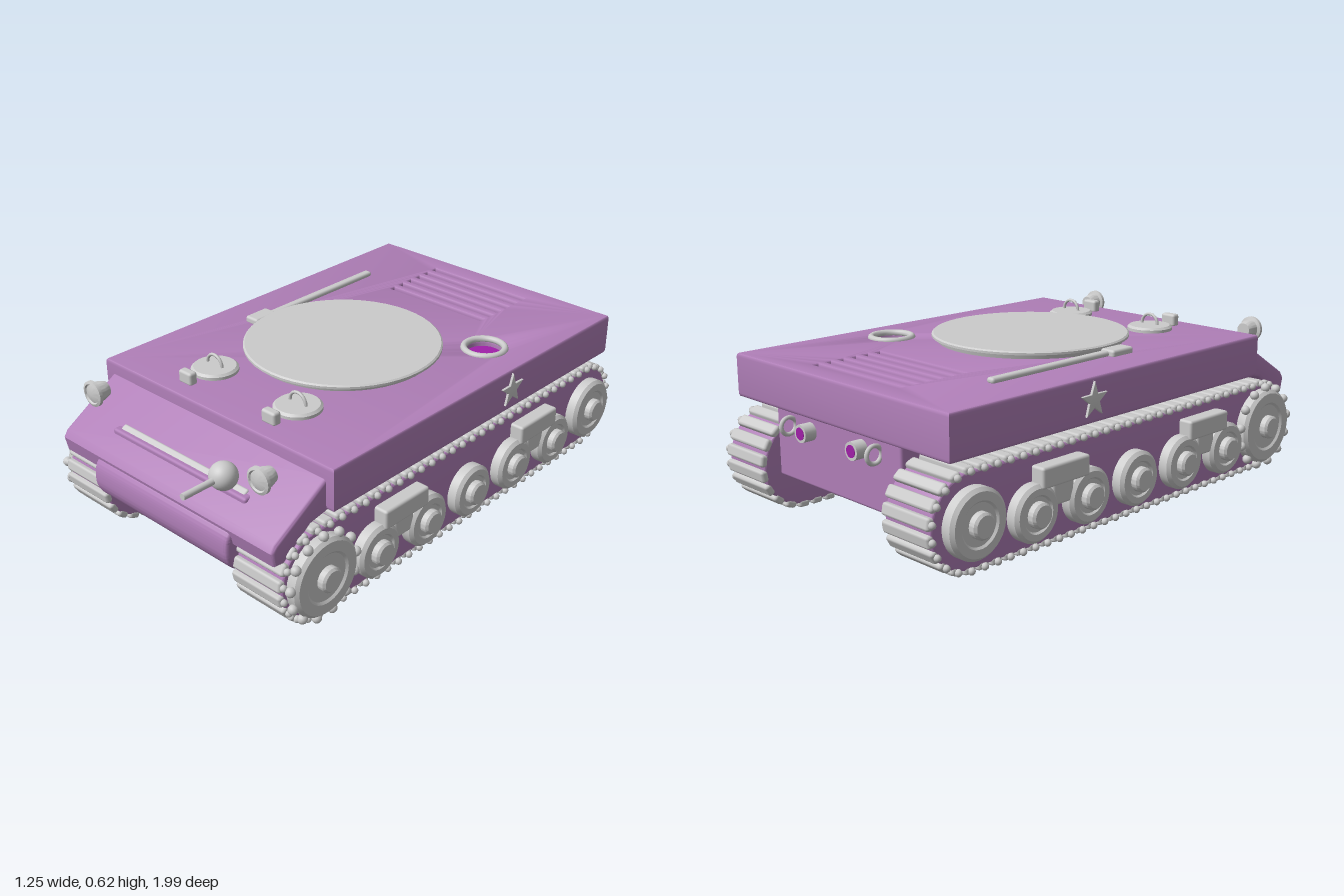
import * as THREE from 'three';
import { mergeGeometries, toCreasedNormals } from 'three/addons/utils/BufferGeometryUtils.js';
import { RoundedBoxGeometry } from 'three/addons/geometries/RoundedBoxGeometry.js';

const paint = (color) => new THREE.MeshStandardMaterial({ color });
const grey = paint(0xcccccc), mauve = paint(0xb07fb8), purple = paint(0xa020a8);

function add(parent, name, geometry, x = 0, y = 0, z = 0, material = grey) {
  const mesh = new THREE.Mesh(geometry, material);
  mesh.name = name;
  mesh.position.set(x, y, z);
  parent.add(mesh);
  return mesh;
}

const box = (w, h, d, r = 0.01) => new RoundedBoxGeometry(w, h, d, 2, r);
const tubeX = (r, l, n = 32) => new THREE.CylinderGeometry(r, r, l, n).rotateZ(-Math.PI / 2);
const tubeZ = (r1, r2, l) => new THREE.CylinderGeometry(r1, r2, l, 24).rotateX(Math.PI / 2);
const lathe = (points) => toCreasedNormals(
  new THREE.LatheGeometry(points.map(([r, y]) => new THREE.Vector2(r, y)), 48), 0.6);

// Extrudes a (z, y) profile across x, centred, with rounded edges
function across(shape, width, bevel) {
  const g = new THREE.ExtrudeGeometry(shape, {
    depth: width - 2 * bevel, bevelSize: bevel, bevelThickness: bevel,
    bevelOffset: -bevel, bevelSegments: 3, curveSegments: 24 });
  g.translate(0, 0, bevel - width / 2).rotateY(-Math.PI / 2);
  return toCreasedNormals(g, 0.7);
}

const polygon = (pts) => new THREE.Shape(pts.map(([a, b]) => new THREE.Vector2(a, b)));

// Upper hull: rounded slab with vent slots and a round port cut into its top
function upperHull() {
  const bevel = 0.014;
  const shape = polygon([[-0.57, -0.665], [0.57, -0.665], [0.57, 0.905], [-0.57, 0.905]]);
  for (let i = 0; i < 6; i++) {
    const c = 0.54 + i * 0.054;
    const slot = new THREE.Path();
    slot.moveTo(-0.235, c - 0.015).lineTo(-0.235, c + 0.015);
    slot.lineTo(0.235, c + 0.015).lineTo(0.235, c - 0.015).closePath();
    shape.holes.push(slot);
  }
  const port = new THREE.Path();
  port.absarc(0.39, 0.345, 0.07, 0, Math.PI * 2, true);
  shape.holes.push(port);
  const g = new THREE.ExtrudeGeometry(shape, {
    depth: 0.162 - 2 * bevel, bevelSize: 0.008, bevelThickness: bevel,
    bevelOffset: -0.004, bevelSegments: 3, curveSegments: 24 });
  g.translate(0, 0, bevel).rotateX(-Math.PI / 2);
  return toCreasedNormals(g, 0.7);
}

// Track loop: two half circles joined by straight runs
const FRONT = 0.725, REAR = -0.81, AXLE = 0.178;
function onLoop(t, r) {
  const run = FRONT - REAR, arc = Math.PI * r;
  let s = t * 2 * (run + arc);
  if (s < run) return { z: REAR + s, y: AXLE + r, a: 0 };
  s -= run;
  if (s < arc) return { z: FRONT + r * Math.sin(s / r), y: AXLE + r * Math.cos(s / r), a: s / r };
  s -= arc;
  if (s < run) return { z: FRONT - s, y: AXLE - r, a: Math.PI };
  const a = Math.PI + (s - run) / r;
  return { z: REAR + r * Math.sin(a), y: AXLE + r * Math.cos(a), a };
}

function wheel(parent, name, radius, y, z) {
  const g = lathe([[0, 0], [radius, 0], [radius, 0.035], [radius - 0.012, 0.047],
    [radius * 0.66, 0.047], [radius * 0.6, 0.04], [0.045, 0.04], [0.045, 0.062],
    [0.037, 0.07], [0, 0.07]]).rotateZ(-Math.PI / 2);
  add(parent, name, g, 0.555, y, z);
}

// Running gear of the left side, mirrored for the right
function runningGear(side) {
  const gear = new THREE.Group();
  gear.name = side > 0 ? 'leftRunningGear' : 'rightRunningGear';

  const core = new THREE.Shape();
  core.absarc(FRONT, AXLE, 0.162, Math.PI / 2, -Math.PI / 2, true);
  core.absarc(REAR, AXLE, 0.162, -Math.PI / 2, -Math.PI * 1.5, true);
  add(gear, 'trackBody', across(core, 0.22, 0.008), 0.443, 0, 0, mauve);

  const pads = [], pins = [], links = 72;
  for (let i = 0; i < links; i++) {
    const p = onLoop(i / links, 0.164);
    pads.push(new RoundedBoxGeometry(0.225, 0.028, 0.044, 1, 0.01)
      .rotateX(p.a).translate(0.443, p.y, p.z));
    pins.push(new THREE.SphereGeometry(0.013, 8, 6).translate(0.56, p.y, p.z));
  }
  add(gear, 'trackPads', mergeGeometries(pads));
  add(gear, 'trackPins', mergeGeometries(pins));

  // Drive sprocket, idler and road wheels
  wheel(gear, 'driveSprocket', 0.145, AXLE, FRONT);
  for (let i = 0; i < 13; i++) {
    const a = (i / 13) * Math.PI * 2;
    add(gear, 'sprocketTooth', new THREE.SphereGeometry(0.018, 12, 8),
      0.582, AXLE + 0.154 * Math.cos(a), FRONT + 0.154 * Math.sin(a));
  }
  wheel(gear, 'idlerWheel', 0.12, AXLE, REAR);
  for (let i = 0; i < 5; i++) wheel(gear, 'roadWheel', 0.1, 0.145, 0.465 - i * 0.255);

  // Suspension brackets between the outer wheel pairs
  for (const z of [0.338, -0.428]) {
    add(gear, 'suspensionBracket', box(0.06, 0.075, 0.225), 0.578, 0.262, z);
    add(gear, 'suspensionLeg', box(0.045, 0.1, 0.1), 0.57, 0.2, z);
  }
  gear.scale.x = side;
  return gear;
}

function star() {
  const pts = [];
  for (let i = 0; i < 10; i++) {
    const a = (i * Math.PI) / 5, r = i % 2 ? 0.027 : 0.066;
    pts.push([r * Math.sin(a), r * Math.cos(a)]);
  }
  return across(polygon(pts), 0.016, 0.003);
}

export function createModel() {
  const model = new THREE.Group();
  model.name = 'trackedHull';

  // Hull
  add(model, 'upperHull', upperHull(), 0, 0.388, 0, mauve);
  add(model, 'upperHullCore', new THREE.BoxGeometry(1.1, 0.135, 1.53), 0, 0.4575, -0.12, purple);
  add(model, 'lowerHull', box(0.68, 0.27, 1.74), 0, 0.28, -0.035, mauve);
  const front = polygon([[0.6, 0.39], [0.6, 0.54], [0.66, 0.505], [0.895, 0.36],
    [0.912, 0.335], [0.9, 0.28], [0.86, 0.275], [0.74, 0.365]]);
  add(model, 'frontPlate', across(front, 1.08, 0.012), 0, 0, 0, mauve);
  const nose = new THREE.Shape();
  nose.moveTo(0.7, 0.147).lineTo(0.83, 0.147);
  nose.bezierCurveTo(0.89, 0.155, 0.93, 0.2, 0.93, 0.25);
  nose.bezierCurveTo(0.93, 0.3, 0.92, 0.33, 0.88, 0.335);
  nose.lineTo(0.7, 0.335);
  add(model, 'nose', across(nose, 0.69, 0.015), 0, 0, 0, mauve);
  add(model, 'frontRidge', box(0.635, 0.016, 0.03, 0.007), 0, 0.413, 0.805).rotation.x = 0.55;

  // Deck fittings
  add(model, 'turretRing', lathe([[0, 0], [0.35, 0], [0.355, 0.018], [0.372, 0.022],
    [0.372, 0.03], [0.366, 0.035], [0, 0.035]]), 0, 0.546, 0.01);
  add(model, 'portRim', new THREE.TorusGeometry(0.077, 0.013, 10, 40).rotateX(Math.PI / 2),
    0.39, 0.55, -0.345);
  add(model, 'deckRod', box(0.034, 0.022, 0.58), -0.395, 0.557, -0.285);
  add(model, 'deckRodClamp', box(0.065, 0.03, 0.11), -0.402, 0.558, 0.045);

  // Paired fittings
  for (const s of [-1, 1]) {
    add(model, 'hatch', lathe([[0, 0], [0.087, 0], [0.087, 0.014], [0.078, 0.022], [0, 0.022]]),
      s * 0.21, 0.547, 0.46);
    add(model, 'hatchHandle', new THREE.TorusGeometry(0.038, 0.006, 8, 24, Math.PI),
      s * 0.21, 0.572, 0.46);
    add(model, 'periscope', box(0.065, 0.05, 0.035), s * 0.21, 0.57, 0.587);

    const lamp = lathe([[0, -0.035], [0.028, -0.035], [0.036, -0.01], [0.036, 0.01],
      [0.048, 0.014], [0.048, 0.026], [0.038, 0.03], [0.034, 0.024], [0, 0.034]]);
    add(model, 'headlight', lamp.rotateX(Math.PI / 2), s * 0.42, 0.527, 0.825);

    add(model, 'sideStar', star(), s * 0.575, 0.47, -0.27);
    add(model, 'exhaust', tubeZ(0.032, 0.032, 0.05), s * 0.14, 0.345, -0.925);
    add(model, 'exhaustOpening', tubeZ(0.022, 0.022, 0.052), s * 0.14, 0.345, -0.926, purple);
    add(model, 'towHook', new THREE.TorusGeometry(0.03, 0.008, 8, 24).rotateY(Math.PI / 2),
      s * 0.235, 0.35, -0.93);
    model.add(runningGear(s));
  }

  // Bow gun
  add(model, 'gunBall', new THREE.SphereGeometry(0.05, 32, 20), 0.23, 0.455, 0.825);
  add(model, 'gunBarrel', tubeZ(0.012, 0.012, 0.16), 0.23, 0.455, 0.92);
  return model;
}
